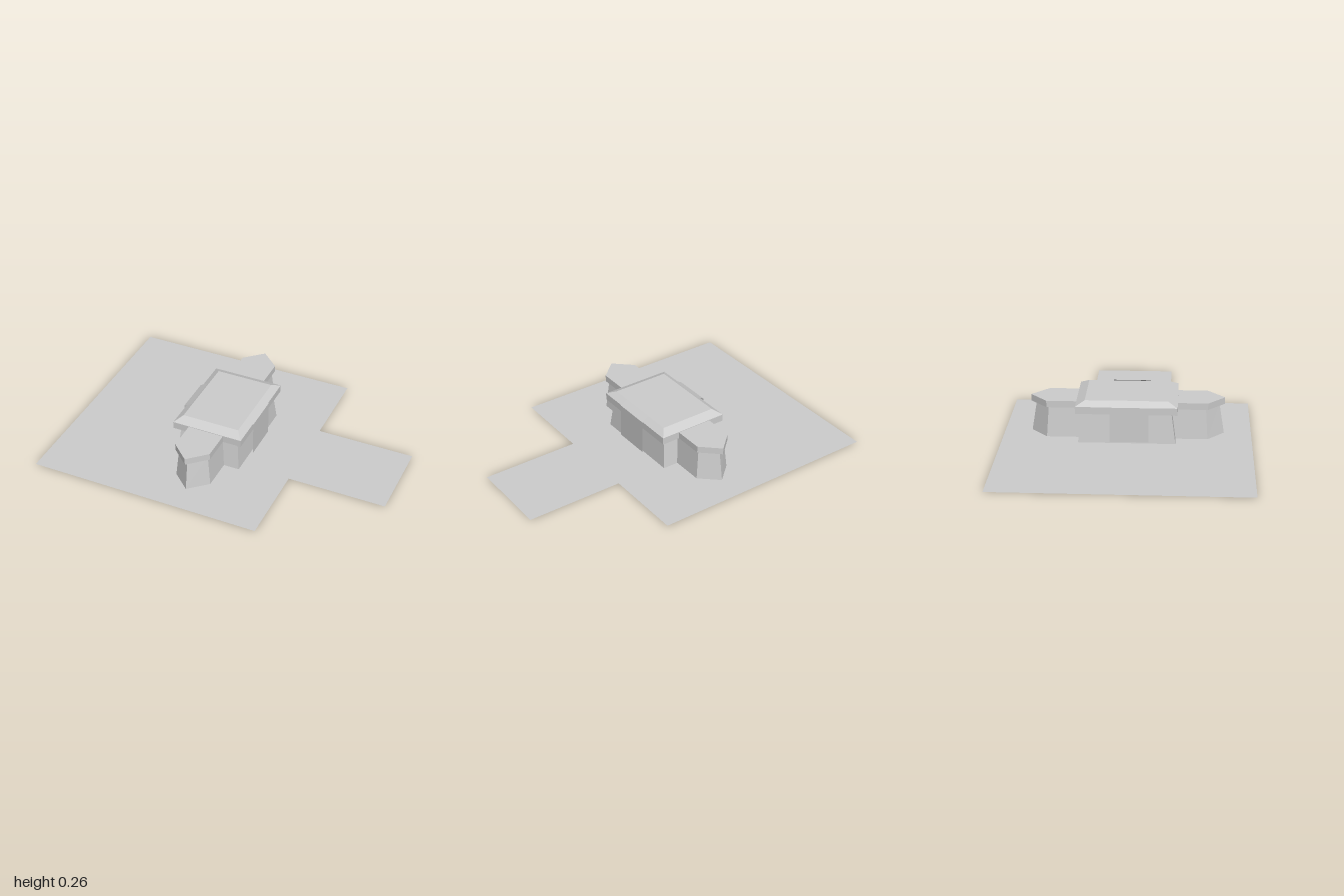
import * as THREE from 'three';

// Closed, flat-faced solid through a stack of [y, loop] levels; loops are [x, z] points, counterclockwise from above.
function loft(levels) {
  const rings = levels.map(([y, loop]) => loop.map(([x, z]) => [x, y, z]));
  const pos = [];
  const tri = (a, b, c) => pos.push(...a, ...b, ...c);
  const n = rings[0].length;
  for (let k = 0; k < rings.length - 1; k++) {
    const lo = rings[k], hi = rings[k + 1];
    for (let i = 0; i < n; i++) {
      const j = (i + 1) % n;
      tri(lo[i], lo[j], hi[j]);
      tri(lo[i], hi[j], hi[i]);
    }
  }
  const bottom = rings[0], top = rings[rings.length - 1];
  for (let i = 1; i < n - 1; i++) {
    tri(bottom[0], bottom[i + 1], bottom[i]);
    tri(top[0], top[i], top[i + 1]);
  }
  const geo = new THREE.BufferGeometry();
  geo.setAttribute('position', new THREE.Float32BufferAttribute(pos, 3));
  geo.computeVertexNormals();
  return geo;
}

const rect = (x0, x1, z0, z1) => [[x0, z1], [x1, z1], [x1, z0], [x0, z0]];

// Long hexagon with a pointed tip at each end
const hexagon = (x0, x1, shoulder, tip) => {
  const mid = (x0 + x1) / 2;
  return [[x0, shoulder], [mid, tip], [x1, shoulder], [x1, -shoulder], [mid, -tip], [x0, -shoulder]];
};

export function createModel() {
  const model = new THREE.Group();
  model.name = 'building';
  const grey = new THREE.MeshStandardMaterial({ color: 0xcccccc, side: THREE.DoubleSide });
  grey.name = 'light grey';
  const add = (name, geo) => {
    const mesh = new THREE.Mesh(geo, grey);
    mesh.name = name;
    model.add(mesh);
    return mesh;
  };

  // Flat ground sheet with a path on the left; shape y becomes -z
  const outline = [[-1, -0.73], [0.41, -0.73], [0.41, -0.24], [1, -0.24],
    [1, 0.25], [0.41, 0.25], [0.41, 0.73], [-1, 0.73]];
  const ground = new THREE.ShapeGeometry(new THREE.Shape(outline.map(([x, y]) => new THREE.Vector2(x, y))));
  add('ground', ground.rotateX(-Math.PI / 2));

  // Pointed wings: tapered walls under a flat slab roof
  add('wingWalls', loft([
    [0.002, hexagon(-0.203, 0.016, 0.472, 0.57)],
    [0.185, hexagon(-0.185, -0.002, 0.46, 0.54)],
  ]));
  add('wingRoof', loft([
    [0.185, hexagon(-0.203, 0.016, 0.472, 0.572)],
    [0.225, hexagon(-0.203, 0.016, 0.472, 0.572)],
  ]));

  // Main hall: tapered walls, eaves and bevelled roof
  add('hallWalls', loft([
    [0.002, rect(-0.287, 0.111, -0.282, 0.285)],
    [0.185, rect(-0.268, 0.093, -0.257, 0.26)],
  ]));
  add('hallRoof', loft([
    [0.185, rect(-0.304, 0.129, -0.296, 0.296)],
    [0.228, rect(-0.304, 0.129, -0.296, 0.296)],
    [0.255, rect(-0.262, 0.088, -0.242, 0.242)],
  ]));

  // Side panels: a thin upright sheet that folds in over the roof bevel
  const zFront = 0.13, zBack = -0.095;
  for (const [name, lower, upper] of [['leftPanel', 0.135, 0.09], ['rightPanel', -0.314, -0.267]]) {
    const profile = [[lower, 0.02], [lower, 0.231], [upper, 0.258]];
    const pos = [];
    for (let i = 0; i < 2; i++) {
      const [xa, ya] = profile[i], [xb, yb] = profile[i + 1];
      const quad = [[xa, ya, zFront], [xa, ya, zBack], [xb, yb, zBack], [xb, yb, zFront]];
      const order = lower > 0 ? [0, 1, 2, 0, 2, 3] : [0, 2, 1, 0, 3, 2];
      order.forEach((k) => pos.push(...quad[k]));
    }
    const geo = new THREE.BufferGeometry();
    geo.setAttribute('position', new THREE.Float32BufferAttribute(pos, 3));
    geo.computeVertexNormals();
    add(name, geo);
  }

  return model;
}
